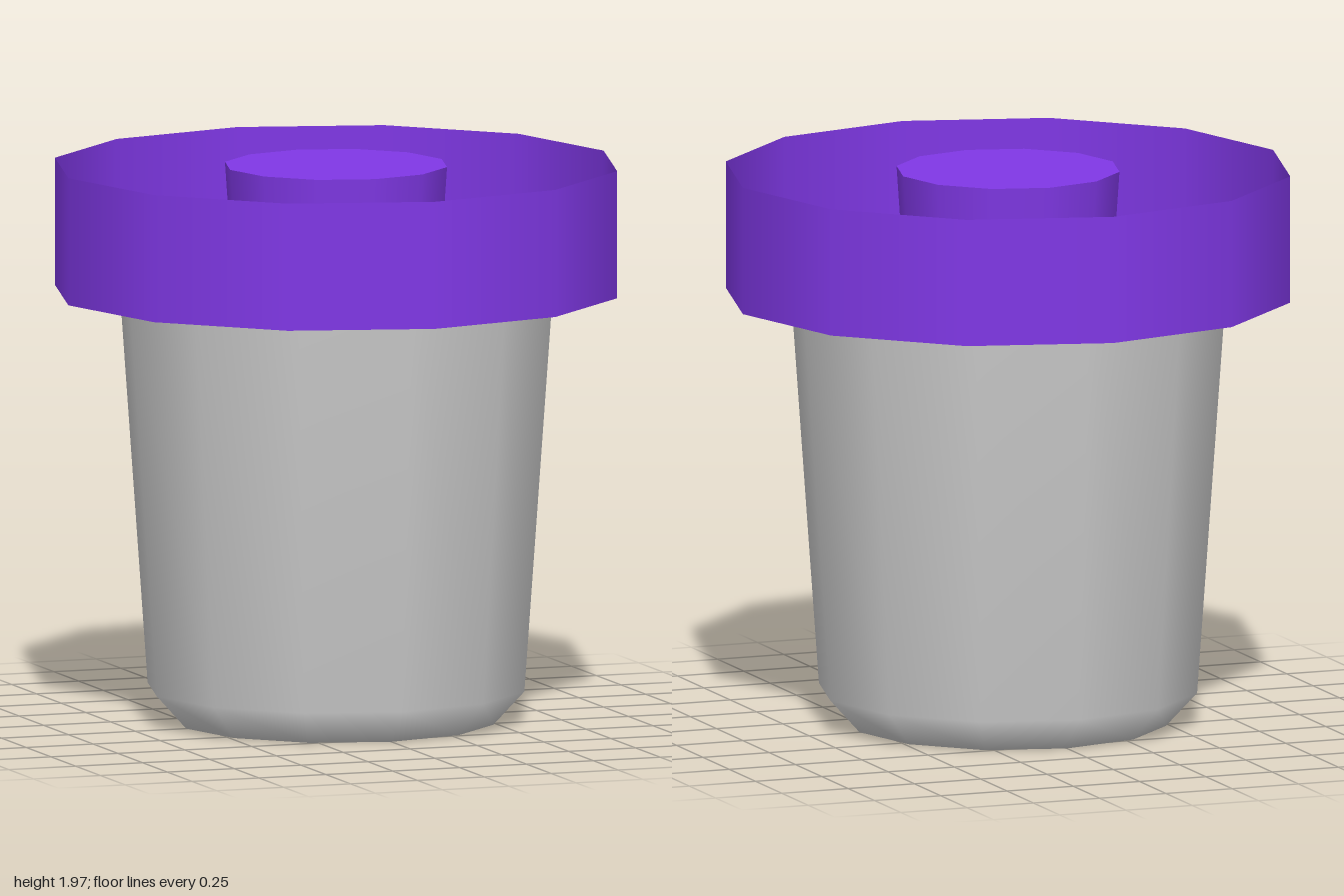
import * as THREE from 'three';

const SIDES = 12;
const FLOOR_Y = 0, RIM_Y = 1.52, TOP_Y = 1.97;

export function createModel() {
  const model = new THREE.Group();
  const grey = new THREE.MeshStandardMaterial({ color: 0xcccccc, side: THREE.DoubleSide });
  const purple = new THREE.MeshStandardMaterial({ color: 0x8038e6, side: THREE.DoubleSide });

  const add = (name, geometry, material) => {
    const mesh = new THREE.Mesh(geometry, material);
    mesh.name = name;
    model.add(mesh);
  };
  // Thin twelve-sided shell from [radius, height] pairs, listed bottom to top
  const shell = (profile) =>
    new THREE.LatheGeometry(profile.map(([r, y]) => new THREE.Vector2(r, y)), SIDES);
  // Flat twelve-sided disc at height y
  const disc = (r, y) => new THREE.CircleGeometry(r, SIDES).rotateX(-Math.PI / 2).translate(0, y, 0);

  // Tapered open cup with a bevelled foot
  add('cupWall', shell([[0.56, FLOOR_Y], [0.67, 0.12], [0.77, RIM_Y]]), grey);
  add('cupFloor', disc(0.56, FLOOR_Y), grey);

  // Wide collar: flat ledge and upright wall
  add('collarLedge', shell([[0.77, RIM_Y], [1, RIM_Y]]), purple);
  add('collarWall', shell([[1, RIM_Y], [1, TOP_Y]]), purple);

  // Central post, narrowing towards the cup floor
  add('postWall', shell([[0.26, FLOOR_Y], [0.395, TOP_Y]]), purple);
  add('postTop', disc(0.395, TOP_Y), purple);

  return model;
}
